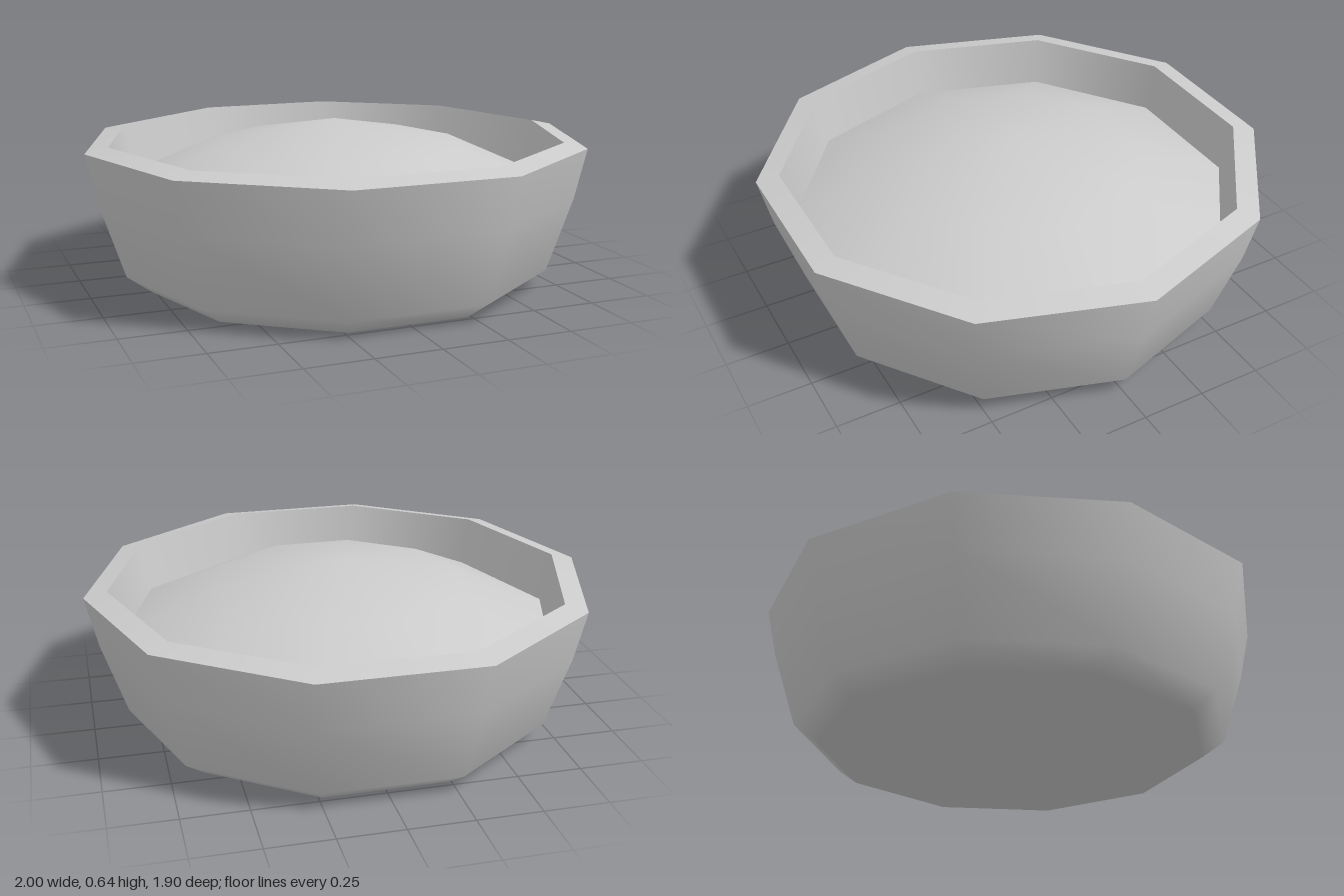
import * as THREE from 'three';

const SIDES = 10;
const material = new THREE.MeshStandardMaterial({ color: 0xcccccc });

// Ten-sided turned part with a corner on the x axis; profile is [radius, height] pairs.
function turned(name, profile) {
  const points = profile.map(([r, y]) => new THREE.Vector2(r, y));
  const geometry = new THREE.LatheGeometry(points, SIDES, Math.PI / 2);
  // Points on the axis get a vertical normal so the centre shades smoothly.
  const { position, normal } = geometry.attributes;
  for (let i = 0; i < position.count; i++) {
    if (Math.hypot(position.getX(i), position.getZ(i)) < 1e-6) {
      normal.setXYZ(i, 0, Math.sign(normal.getY(i)), 0);
    }
  }
  const mesh = new THREE.Mesh(geometry, material);
  mesh.name = name;
  return mesh;
}

export function createModel() {
  const bowl = new THREE.Group();
  bowl.name = 'bowl';
  bowl.add(
    // Underside, chamfered foot and flaring outer wall
    turned('outerShell', [[0, 0], [0.765, 0], [0.86, 0.07], [0.955, 0.36], [1, 0.56]]),
    // Rim, rising slightly inwards
    turned('rim', [[1, 0.56], [0.91, 0.58]]),
    // Inner wall
    turned('innerWall', [[0.91, 0.58], [0.87, 0.385]]),
    // Heaped filling with a shallow peak
    turned('filling', [[0.87, 0.385], [0.51, 0.545], [0, 0.64]]),
  );
  return bowl;
}
